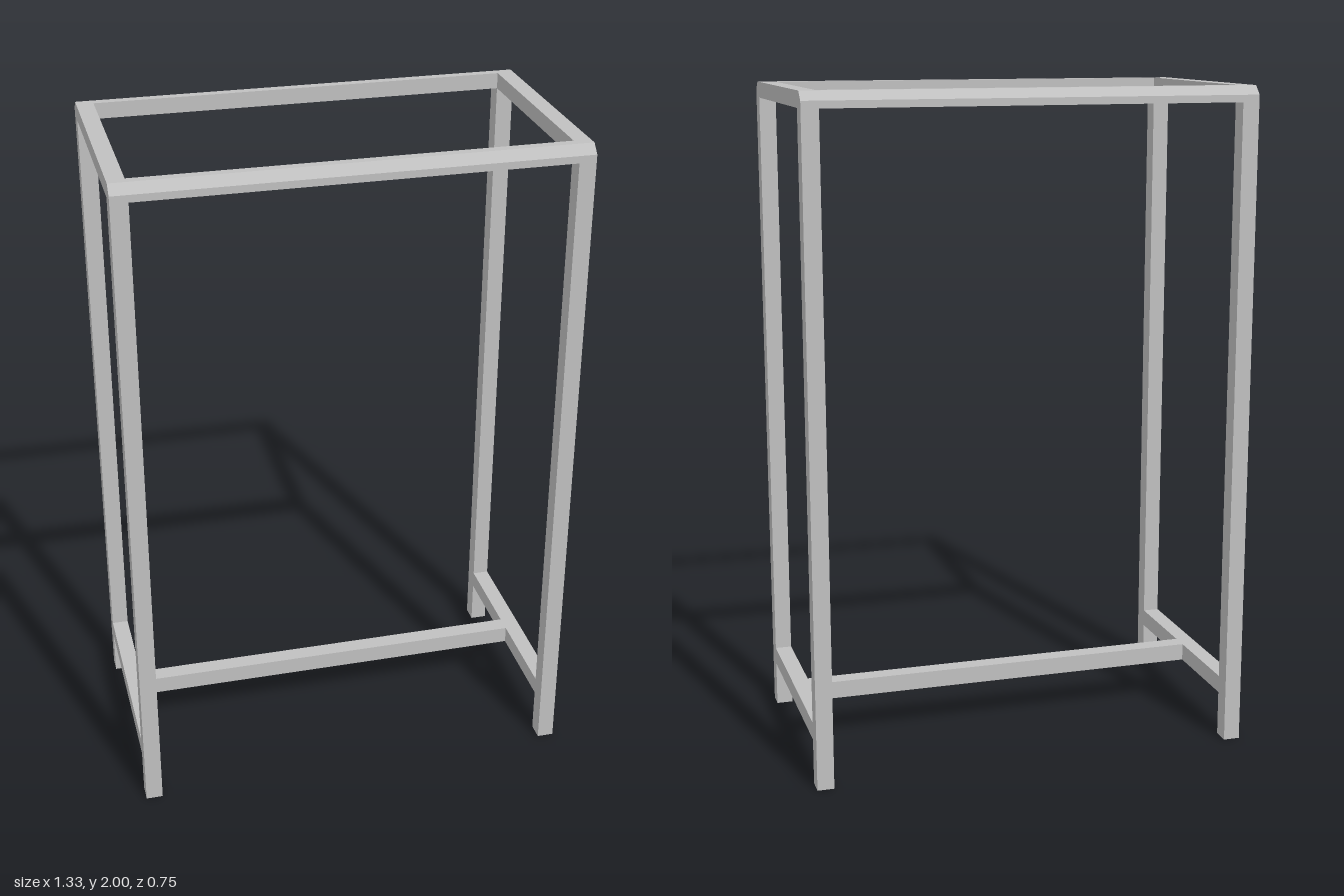
import * as THREE from 'three';

export function createModel() {
  const model = new THREE.Group();
  model.name = 'tableFrame';
  const steel = new THREE.MeshStandardMaterial({ color: 0xbfbfbf });
  steel.name = 'grey steel';

  // Outer half sizes, tube sizes and key heights
  const X = 0.665, Z = 0.373, H = 2;
  const W = 0.05, D = 0.053;
  const railBottom = 1.953, chamfer = 0.026;
  const braceY = 0.164, braceH = 0.053;

  function add(name, geometry, x = 0, y = 0, z = 0) {
    const mesh = new THREE.Mesh(geometry, steel);
    mesh.name = name;
    mesh.position.set(x, y, z);
    model.add(mesh);
  }

  // Legs: square tubes, open at both ends
  const leg = new THREE.BoxGeometry(W, railBottom, D);
  const sides = Array.from(leg.index.array).filter((_, i) => i < 12 || i >= 24);
  leg.setIndex(sides);
  leg.clearGroups();
  for (const sx of [-1, 1]) {
    for (const sz of [-1, 1]) {
      const name = (sz > 0 ? 'front' : 'back') + (sx > 0 ? 'Left' : 'Right') + 'Leg';
      add(name, leg, sx * (X - W / 2), railBottom / 2, sz * (Z - D / 2));
    }
  }

  // Long top rails with a bevelled outer edge
  const profile = new THREE.Shape([
    [Z - D, railBottom], [Z, railBottom], [Z, H - chamfer], [Z - chamfer, H], [Z - D, H],
  ].map(([x, y]) => new THREE.Vector2(x, y)));
  for (const s of [-1, 1]) {
    const rail = new THREE.ExtrudeGeometry(profile, { depth: 2 * X, bevelEnabled: false });
    rail.translate(0, 0, -X);
    rail.rotateY(-s * Math.PI / 2);
    add(s > 0 ? 'frontTopRail' : 'backTopRail', rail);
  }

  // End rails at the top and end braces near the floor
  const span = 2 * (Z - D), railH = H - railBottom;
  for (const s of [-1, 1]) {
    const side = s > 0 ? 'left' : 'right', x = s * (X - W / 2);
    add(side + 'TopRail', new THREE.BoxGeometry(W, railH, span), x, H - railH / 2, 0);
    add(side + 'Brace', new THREE.BoxGeometry(W, braceH, span), x, braceY, 0);
  }

  // Long stretcher joining the two braces
  add('stretcher', new THREE.BoxGeometry(2 * (X - W), braceH, D), 0, braceY, 0);

  return model;
}
